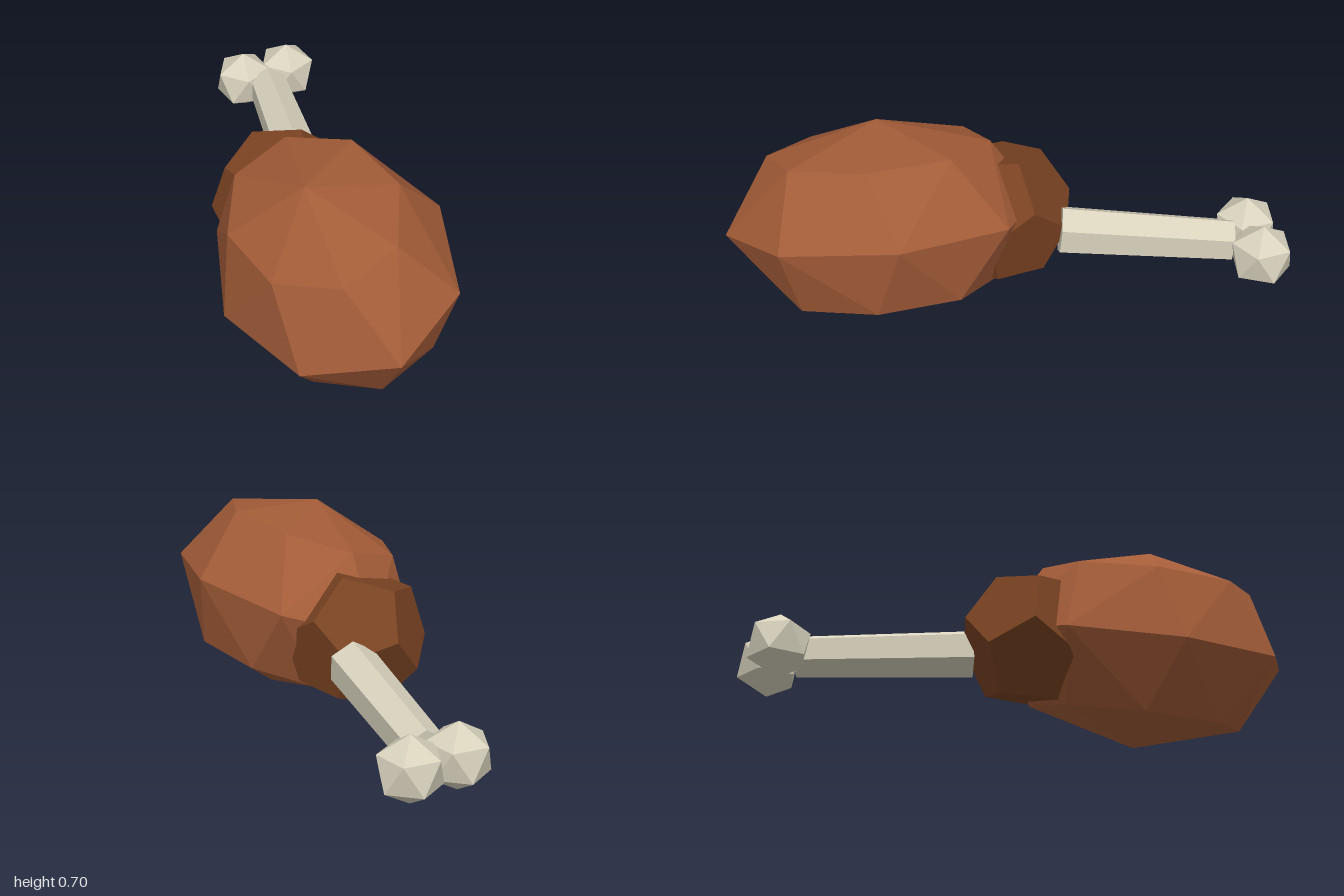
import * as THREE from 'three';
import { ConvexGeometry } from 'three/addons/geometries/ConvexGeometry.js';

const rad = THREE.MathUtils.degToRad;

const material = (name, color) => {
  const m = new THREE.MeshStandardMaterial({ color, flatShading: true });
  m.name = name;
  return m;
};

// Faceted ball of unit radius: each ring is [height, corner count, phase in degrees].
function facetedBall(rings) {
  const points = [new THREE.Vector3(0, 1, 0), new THREE.Vector3(0, -1, 0)];
  for (const [h, count, phase] of rings) {
    const r = Math.sqrt(1 - h * h);
    for (let i = 0; i < count; i++) {
      const a = rad(phase) + (i / count) * Math.PI * 2;
      points.push(new THREE.Vector3(r * Math.cos(a), h, r * Math.sin(a)));
    }
  }
  return new ConvexGeometry(points);
}

export function createModel() {
  const group = new THREE.Group();
  group.name = 'drumstick';

  const roastBrown = material('roast brown', 0xa35c38);
  const darkBrown = material('dark brown', 0x7a4322);
  const boneWhite = material('bone white', 0xd8d2bd);

  const add = (name, geometry, mat, x, y, z) => {
    const mesh = new THREE.Mesh(geometry, mat);
    mesh.name = name;
    mesh.position.set(x, y, z);
    group.add(mesh);
    return mesh;
  };

  // Large piece of meat, rolled to one side
  const meat = add('meat',
    facetedBall([[0.707, 8, 11.25], [0, 8, 0], [-0.707, 8, 11.25]]),
    roastBrown, -0.025, 0.354, 0.43);
  meat.scale.set(0.42, 0.367, 0.57);
  meat.rotation.z = rad(17);

  // Darker knuckle of meat, a dodecahedron with a flat pentagon on top
  const knuckle = add('meatEnd',
    new THREE.DodecahedronGeometry(0.268).rotateX(rad(31.72)),
    darkBrown, -0.035, 0.32, 0);
  knuckle.rotation.z = rad(17);

  // Six-sided bone shaft, slightly tapered towards the far end
  const start = new THREE.Vector3(0.1, 0.297, -0.195);
  const end = new THREE.Vector3(0.21, 0.24, -0.815);
  const shaft = new THREE.CylinderGeometry(0.08, 0.092, start.distanceTo(end), 6);
  shaft.rotateX(-Math.PI / 2);
  const bone = add('boneShaft', shaft, boneWhite, 0, 0, 0);
  bone.position.copy(start).lerp(end, 0.5);
  bone.lookAt(start.clone().multiplyScalar(2).sub(end));

  // Two knobs at the end of the bone
  const knob = facetedBall([[0.447, 5, 27], [-0.447, 5, 63]]).scale(0.122, 0.122, 0.122);
  for (const [name, x] of [['rightKnob', 0.135], ['leftKnob', 0.32]]) {
    add(name, knob, boneWhite, x, 0.241, -0.893);
  }

  return group;
}
